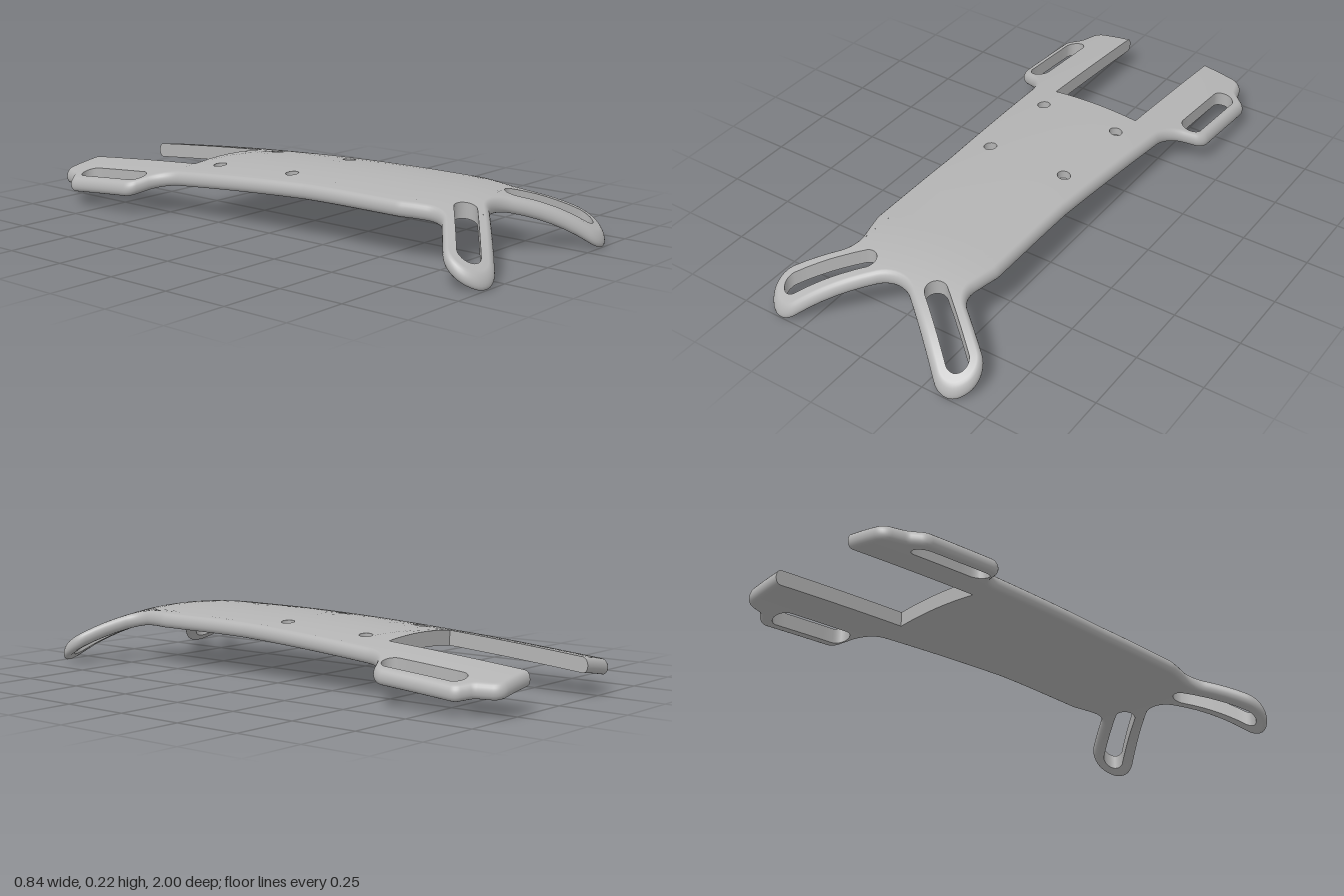
import * as THREE from 'three';

const THICK = 0.055, ROUND = 0.02, LAYERS = 10, SCREW_DEPTH = 0.03;
const V = (x, z) => new THREE.Vector2(x, z); // plan coordinates (x, z)

// Height of the upper face: arched across, drooping at both ends
function height(x, z) {
  const u = Math.max(0, z - 0.55), v = Math.max(0, 0.35 - z);
  return 0.207 - 0.33 * x * x - 0.35 * u * u - 1.65 * u ** 4 - 0.045 * v ** 1.7;
}

// Places a flat plate point (depth s below the top, normal n) on the arched surface
function warp(p) {
  const e = 0.001, [nx, ny, nz] = p.n;
  const hx = (height(p.x + e, p.z) - height(p.x - e, p.z)) / (2 * e);
  const hz = (height(p.x, p.z + e) - height(p.x, p.z - e)) / (2 * e);
  return {
    pos: new THREE.Vector3(p.x, height(p.x, p.z) + p.s, p.z),
    nor: new THREE.Vector3(nx - ny * hx, ny, nz - ny * hz).normalize(),
  };
}

// Collects warped triangles, turning each to face its normals
class Surface {
  constructor() { this.pos = []; this.nor = []; }
  tri(...pts) {
    let [a, b, c] = pts.map(warp);
    const face = b.pos.clone().sub(a.pos).cross(c.pos.clone().sub(a.pos));
    if (face.dot(a.nor.clone().add(b.nor).add(c.nor)) < 0) [b, c] = [c, b];
    for (const q of [a, b, c]) {
      this.pos.push(...q.pos.toArray());
      this.nor.push(...q.nor.toArray());
    }
  }
  quad(a, b, c, d) { this.tri(a, b, c); this.tri(a, c, d); }
  mesh(name, material) {
    const g = new THREE.BufferGeometry();
    g.setAttribute('position', new THREE.Float32BufferAttribute(this.pos, 3));
    g.setAttribute('normal', new THREE.Float32BufferAttribute(this.nor, 3));
    const m = new THREE.Mesh(g, material);
    m.name = name;
    return m;
  }
}

// Rounds the corners [x, z, radius] of an open path with circular arcs
function fillet(corners) {
  const out = [];
  corners.forEach(([x, z, r], i) => {
    const b = V(x, z);
    if (!r) { out.push(b); return; }
    const d0 = V(...corners[i - 1]).sub(b).normalize();
    const d1 = V(...corners[i + 1]).sub(b).normalize();
    const half = Math.acos(THREE.MathUtils.clamp(d0.dot(d1), -1, 1)) / 2;
    const len = r / Math.tan(half), w = Math.sin(half);
    const a = b.clone().addScaledVector(d0, len), c = b.clone().addScaledVector(d1, len);
    const n = 10;
    for (let k = 0; k <= n; k++) {
      const t = k / n, wa = (1 - t) ** 2, wb = 2 * t * (1 - t) * w, wc = t * t;
      out.push(V(wa * a.x + wb * b.x + wc * c.x, wa * a.y + wb * b.y + wc * c.y)
        .divideScalar(wa + wb + wc));
    }
  });
  return out;
}

// Adds points along long straight runs
function densify(pts, closed = false, step = 0.05) {
  const out = [];
  pts.forEach((p, i) => {
    if (i === pts.length - 1 && !closed) { out.push(p); return; }
    const q = pts[(i + 1) % pts.length], n = Math.max(1, Math.ceil(p.distanceTo(q) / step));
    for (let k = 0; k < n; k++) out.push(p.clone().lerp(q, k / n));
  });
  return out;
}

// Normals to the left of the path at each point
function leftNormals(pts, closed) {
  const n = pts.length;
  return pts.map((p, i) => {
    const prev = closed ? pts[(i + n - 1) % n] : pts[Math.max(0, i - 1)];
    const next = closed ? pts[(i + 1) % n] : pts[Math.min(n - 1, i + 1)];
    const a = p.clone().sub(prev).normalize(), b = next.clone().sub(p).normalize();
    const t = a.add(b).normalize();
    return V(-t.y, t.x);
  });
}

// Slot outline, or a circle when both ends coincide
function slot(x1, z1, x2, z2, r, n = 12) {
  const dir = Math.atan2(z2 - z1, x2 - x1), pts = [];
  for (const [cx, cz, start] of [[x2, z2, dir - Math.PI / 2], [x1, z1, dir + Math.PI / 2]])
    for (let i = 0; i < n; i++) {
      const a = start + (i + 0.5) / n * Math.PI;
      pts.push(V(cx + r * Math.cos(a), cz + r * Math.sin(a)));
    }
  return densify(pts, true);
}

// Splits every long edge so the faces can follow the arch
function subdivide(a, b, c, emit) {
  const long = (p, q) => p.distanceTo(q) > 0.08;
  const mid = (p, q) => p.clone().add(q).multiplyScalar(0.5);
  const t = [a, b, c], flags = [long(a, b), long(b, c), long(c, a)];
  const count = flags.filter(Boolean).length;
  if (!count) return emit(a, b, c);
  const go = (p, q, r) => subdivide(p, q, r, emit);
  if (count === 3) {
    const ab = mid(a, b), bc = mid(b, c), ca = mid(c, a);
    go(a, ab, ca); go(ab, b, bc); go(ca, bc, c); go(ab, bc, ca);
  } else if (count === 2) {
    const k = flags.indexOf(false); // the short edge runs p to q
    const p = t[k], q = t[(k + 1) % 3], r = t[(k + 2) % 3];
    const qr = mid(q, r), rp = mid(r, p);
    go(p, q, qr); go(p, qr, rp); go(rp, qr, r);
  } else {
    const k = flags.indexOf(true);
    const p = t[k], q = t[(k + 1) % 3], r = t[(k + 2) % 3], m = mid(p, q);
    go(p, m, r); go(m, q, r);
  }
}

export function createModel() {
  const grey = new THREE.MeshStandardMaterial({ color: 0xb4b4b4 });
  grey.name = 'grey';
  const group = new THREE.Group();
  group.name = 'mountingPlate';

  // Outer edge of one half, from the front middle to the rear fork tip
  const NX = 0.178, NZ = -0.438;
  const half = [
    [0.347, 1.034, 0.078], [0.451, 0.906, 0.078], [0.222, 0.73, 0.085], [0.257, 0.575, 0.12],
    [0.257, 0.16, 0.3], [0.29, -0.485, 0.11], [0.416, -0.55, 0.055],
    [0.416, -0.875, 0.045], [0.365, -0.915, 0.035], [0.337, -1, 0.05], [NX, -1, 0],
  ];
  const mirrored = half.map(([x, z, r]) => [-x, z, r]).reverse();
  const outer = densify(fillet([...mirrored, [0, 0.76, 0.11], ...half]));
  const outward = leftNormals(outer, false);

  // Rounded rim around the outside
  const rings = [];
  for (let k = 0; k <= LAYERS; k++) {
    const a = Math.PI / 2 - k / LAYERS * Math.PI, ca = Math.cos(a), sa = Math.sin(a);
    const nr = ca / ROUND, ny = sa / (THICK / 2), len = Math.hypot(nr, ny);
    rings.push(outer.map((p, i) => {
      const o = outward[i], d = ROUND * (1 - ca);
      return { x: p.x - o.x * d, z: p.y - o.y * d, s: THICK / 2 * (sa - 1),
        n: [o.x * nr / len, ny / len, o.y * nr / len] };
    }));
  }
  const rim = new Surface();
  for (let k = 0; k < LAYERS; k++)
    for (let i = 0; i < outer.length - 1; i++)
      rim.quad(rings[k][i], rings[k][i + 1], rings[k + 1][i + 1], rings[k + 1][i]);
  group.add(rim.mesh('roundedRim', grey));

  // Vertical walls reaching down from the upper face
  const wall = (surface, p, q, np, nq, depth) => {
    const at = (v, n, s) => ({ x: v.x, z: v.y, s, n: [n.x, 0, n.y] });
    surface.quad(at(p, np, 0), at(q, nq, 0), at(q, nq, -depth), at(p, np, -depth));
  };

  // Rear notch, with the rounded ends of its sides closed
  const notch = new Surface(), endZ = -1 + ROUND;
  const notchPts = densify([V(NX, endZ), V(NX, NZ), V(-NX, NZ), V(-NX, endZ)]);
  for (let i = 0; i < notchPts.length - 1; i++) {
    const p = notchPts[i], q = notchPts[i + 1], t = q.clone().sub(p).normalize();
    const n = V(-t.y, t.x);
    wall(notch, p, q, n, n, THICK);
  }
  for (const [index, side] of [[0, 1], [outer.length - 1, -1]]) {
    const prof = rings.map(r => ({ ...r[index], n: [side, 0, 0] }));
    for (let k = 1; k < LAYERS; k++) notch.tri(prof[0], prof[k], prof[k + 1]);
  }
  group.add(notch.mesh('rearNotch', grey));

  // Through slots in the arms and forks, and four blind screw holes
  const slots = [], screws = [];
  for (const m of [1, -1]) {
    slots.push(slot(m * 0.147, 0.773, m * 0.336, 0.921, 0.039));
    slots.push(slot(m * 0.344, -0.829, m * 0.344, -0.582, 0.039));
    for (const z of [0.03, -0.325]) screws.push(slot(m * 0.16, z, m * 0.16, z, 0.024));
  }
  const addHole = (name, pts, depth, blind) => {
    const s = new Surface(), inward = leftNormals(pts, true);
    const floor = v => ({ x: v.x, z: v.y, s: -depth, n: [0, 1, 0] });
    pts.forEach((p, i) => {
      const j = (i + 1) % pts.length;
      wall(s, p, pts[j], inward[i], inward[j], depth);
      if (blind && i > 0 && j > 0) s.tri(floor(pts[0]), floor(p), floor(pts[j]));
    });
    group.add(s.mesh(name, grey));
  };
  slots.forEach(pts => addHole('slotWall', pts, THICK, false));
  screws.forEach(pts => addHole('screwHole', pts, SCREW_DEPTH, true));

  // Upper and lower faces
  const contour = [...rings[0].map(p => V(p.x, p.z)), ...notchPts.slice(1, -1)];
  const addFace = (name, s, ny, loops) => {
    const all = [contour, ...loops].flat();
    const surface = new Surface(), at = v => ({ x: v.x, z: v.y, s, n: [0, ny, 0] });
    for (const [a, b, c] of THREE.ShapeUtils.triangulateShape(contour, loops))
      subdivide(all[a], all[b], all[c], (p, q, r) => surface.tri(at(p), at(q), at(r)));
    group.add(surface.mesh(name, grey));
  };
  addFace('upperFace', 0, 1, [...slots, ...screws]);
  addFace('lowerFace', -THICK, -1, slots);

  // Rest the plate on the ground
  const lowest = new THREE.Box3().setFromObject(group).min.y;
  group.children.forEach(m => m.geometry.translate(0, -lowest, 0));
  return group;
}
